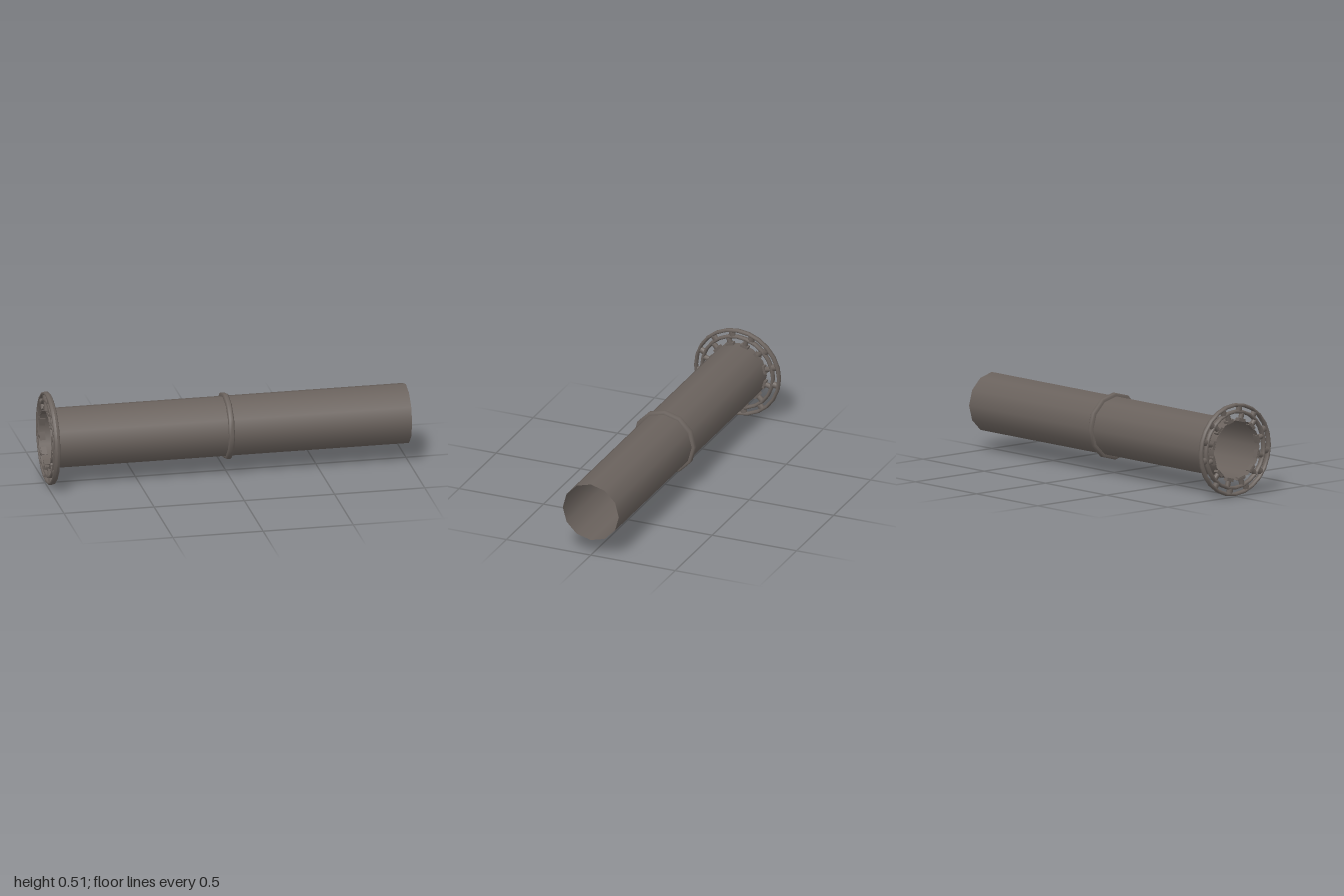
import * as THREE from 'three';

export function createModel() {
  const model = new THREE.Group();
  const metal = new THREE.MeshStandardMaterial({ color: 0x6a625d });
  metal.name = 'dark metal';
  metal.side = THREE.DoubleSide;

  // everything is built around the x axis, then lifted to stand on y = 0
  const body = new THREE.Group();
  body.name = 'pipeAssembly';
  body.position.y = 0.256;
  model.add(body);

  const flangeX = -0.983;

  function add(name, geometry, parent = body) {
    const mesh = new THREE.Mesh(geometry, metal);
    mesh.name = name;
    parent.add(mesh);
    return mesh;
  }

  // revolve [radius, x] points around the x axis
  function revolve(points, sides) {
    const g = new THREE.LatheGeometry(points.map(([r, x]) => new THREE.Vector2(r, x)), sides);
    return g.rotateZ(-Math.PI / 2);
  }

  // group turned clockwise around the axis, as seen from +x
  function spoke(name, degrees) {
    const g = new THREE.Group();
    g.name = name;
    g.rotation.x = -THREE.MathUtils.degToRad(degrees);
    body.add(g);
    return g;
  }

  // open twelve-sided pipe
  add('pipe', revolve([[0.166, -1], [0.166, 1]], 12));

  // raised collar at mid length
  add('collar', revolve([[0.164, -0.016], [0.178, -0.016], [0.184, -0.009],
    [0.184, 0.009], [0.178, 0.016], [0.164, 0.016]], 12));

  // two rounded rings of the end flange
  for (const [name, radius] of [['outerRing', 0.246], ['innerRing', 0.21]]) {
    const section = [];
    for (let i = 0; i <= 8; i++) {
      const a = (i / 8) * Math.PI * 2;
      section.push([radius + 0.01 * Math.cos(a), 0.017 * Math.sin(a)]);
    }
    add(name, revolve(section, 24)).position.x = flangeX;
  }

  // unevenly spaced webs between the rings, one missing
  const webAngles = [21.5, 48, 73.5, 100, 143, 171, 201, 233, 263, 293, 323, 352];
  for (const a of webAngles) {
    const web = add('ringWeb', new THREE.CylinderGeometry(0.019, 0.019, 0.036, 8, 1, true), spoke('web', a));
    web.scale.x = 0.75;
    web.position.set(flangeX, 0.226, 0);
  }

  // pegs and pads holding the flange on each facet of the pipe
  for (let i = 0; i < 12; i++) {
    const support = spoke('support', 15 + i * 30);
    const peg = add('peg', new THREE.CylinderGeometry(0.0145, 0.0145, 0.04, 10), support);
    peg.position.set(flangeX, 0.186, 0);
    const pad = add('pad', new THREE.BoxGeometry(0.03, 0.018, 0.046), support);
    pad.position.set(flangeX, 0.165, 0);
  }

  return model;
}
